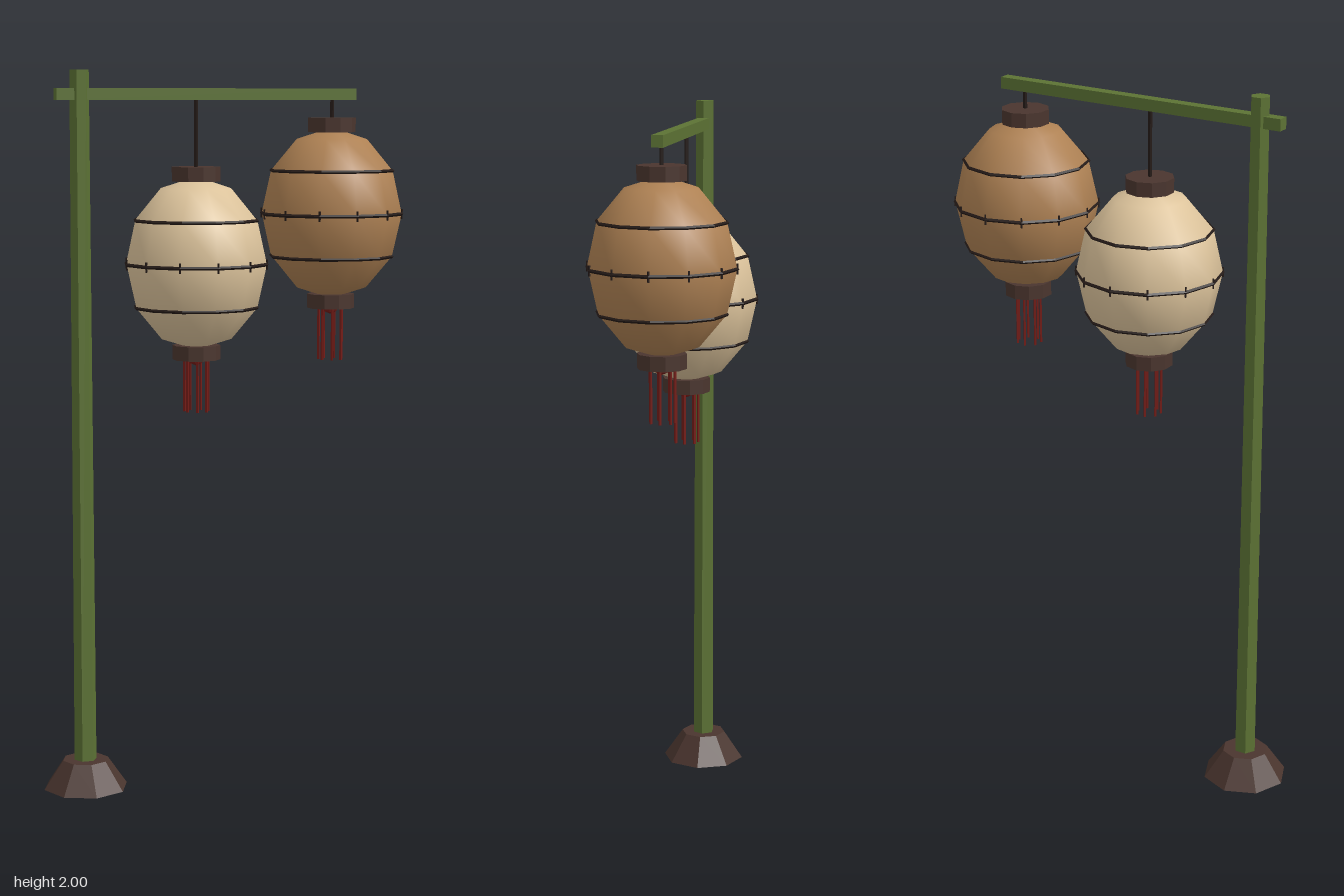
import * as THREE from 'three';

const mat = (name, color, opts = {}) => new THREE.MeshStandardMaterial({ name, color, ...opts });

export function createModel() {
  const model = new THREE.Group();
  model.name = 'lanternPost';

  const bamboo = mat('bambooGreen', 0x5c7234, { flatShading: true });
  const wood = mat('darkWood', 0x4a352e, { flatShading: true, side: THREE.DoubleSide });
  const cord = mat('blackCord', 0x241a17, { flatShading: true });
  const cream = mat('creamPaper', 0xdcc39b);
  const amber = mat('amberPaper', 0xae8153);
  const red = mat('tasselRed', 0x741c17, { flatShading: true });

  const add = (parent, name, geometry, material, x = 0, y = 0, z = 0) => {
    const mesh = new THREE.Mesh(geometry, material);
    mesh.name = name;
    mesh.position.set(x, y, z);
    parent.add(mesh);
    return mesh;
  };

  // Upside-down cup: sloped side and closed top, hollow underneath
  const cup = (rBottom, rTop, height, sides) => new THREE.LatheGeometry([
    new THREE.Vector2(rBottom, 0),
    new THREE.Vector2(rTop, height),
    new THREE.Vector2(0, height),
  ], sides);

  // Post, foot and crossbar
  const postX = -0.41;
  add(model, 'foot', cup(0.12, 0.065, 0.08, 8), wood, postX);
  const post = add(model, 'post', new THREE.CylinderGeometry(0.027, 0.032, 2, 6), bamboo, postX, 1);
  post.rotation.y = Math.PI / 6;
  add(model, 'crossbar', new THREE.BoxGeometry(0.865, 0.032, 0.032), bamboo, -0.045, 1.935);

  // Hanging lantern centred on its paper body
  const R = 0.2, H = 0.24;
  const addLantern = (name, paper, x, y) => {
    const lantern = new THREE.Group();
    lantern.name = name;
    lantern.position.set(x, y, 0);
    model.add(lantern);

    const body = add(lantern, 'paperBody', new THREE.SphereGeometry(R, 12, 6), paper);
    body.scale.y = H / R;

    // Ribs around the body
    for (const angle of [-Math.PI / 6, 0, Math.PI / 6]) {
      const rib = new THREE.TorusGeometry(R * Math.cos(angle), 0.005, 4, 12).rotateX(Math.PI / 2);
      add(lantern, 'rib', rib, cord, 0, H * Math.sin(angle));
    }
    // Small ties on the middle rib
    for (let i = 0; i < 12; i++) {
      const a = (i / 12) * Math.PI * 2;
      add(lantern, 'ribTie', new THREE.CylinderGeometry(0.003, 0.003, 0.028, 4), cord,
        Math.cos(a) * R, 0, Math.sin(a) * R);
    }

    // End caps
    add(lantern, 'topCap', cup(0.067, 0.067, 0.04, 10), wood, 0, 0.227);
    add(lantern, 'bottomCap', cup(0.067, 0.067, 0.04, 10), wood, 0, -0.267);

    // Cord up to the crossbar
    const length = 1.925 - (y + 0.262);
    add(lantern, 'hangingCord', new THREE.CylinderGeometry(0.006, 0.006, length, 5), cord,
      0, 0.262 + length / 2);

    // Tassel
    add(lantern, 'tasselKnot', new THREE.SphereGeometry(0.025, 6, 4), red, 0, -0.26);
    for (let i = 0; i < 7; i++) {
      const a = (i / 7) * Math.PI * 2;
      add(lantern, 'tasselStrand', new THREE.CylinderGeometry(0.004, 0.004, 0.165, 4), red,
        Math.cos(a) * 0.034, -0.332, Math.sin(a) * 0.034);
    }
  };

  addLantern('creamLantern', cream, -0.08, 1.47);
  addLantern('amberLantern', amber, 0.32, 1.603);
  return model;
}
